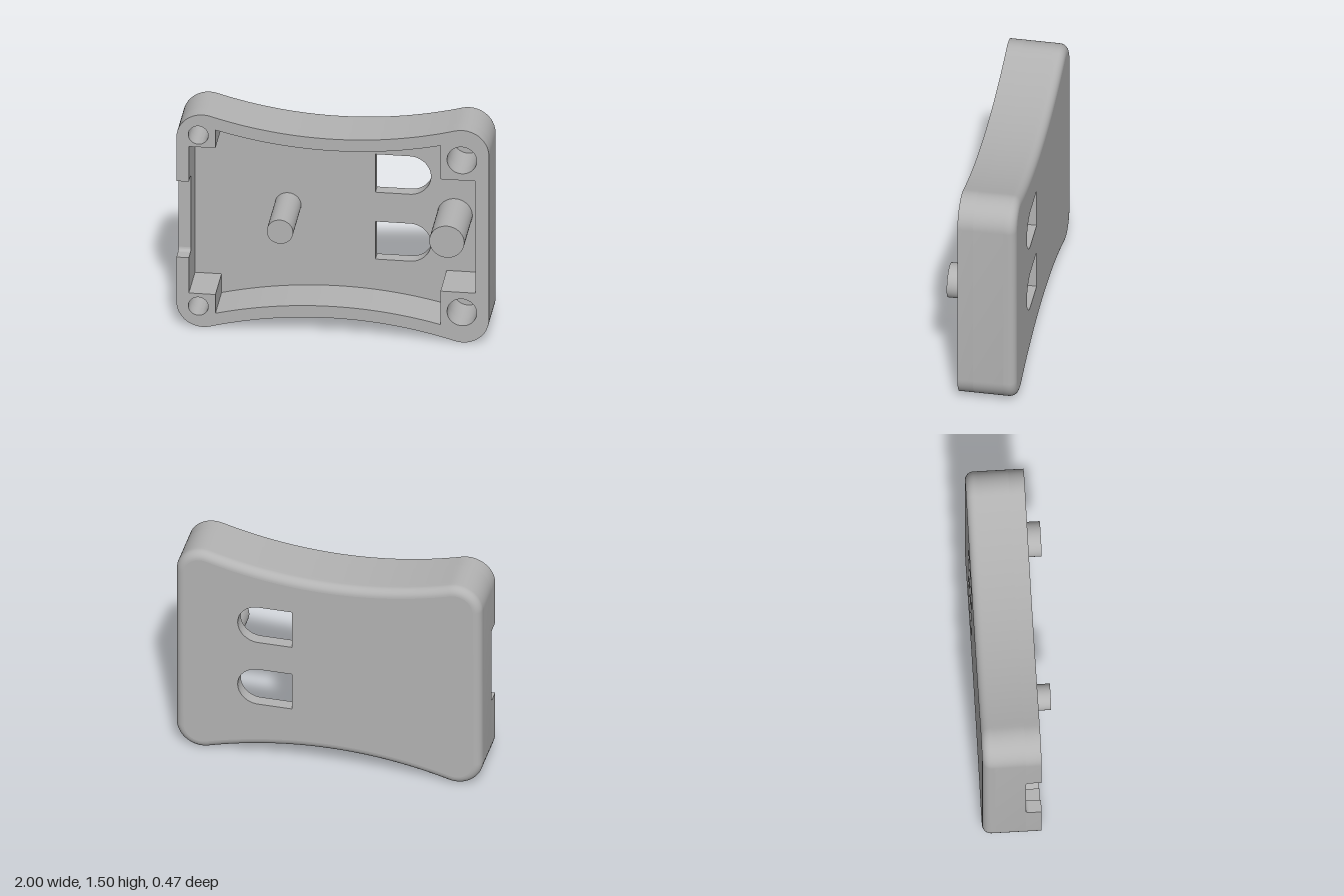
import * as THREE from 'three';
import { toCreasedNormals } from 'three/addons/utils/BufferGeometryUtils.js';

const H = 1.505, CX = 0.83, CR = 0.17, DIP = 0.117;      // outline: height, corner centre x, corner radius, waist depth
const R = (CX * CX + (CR - DIP) ** 2 - CR * CR) / (2 * DIP); // waist arc tangent to the corners
const A = Math.asin(CX / (R + CR));
const FRONT = 0.14, BACK = -0.235, FLOOR = -0.155, LEDGE = 0.04, FILLET = 0.055;
const NOTCH = [0.485, 1.025], WALL = -0.92;
const PI = Math.PI;

const V = (x, y) => new THREE.Vector2(x, y);

function arc(cx, cy, r, a0, a1, n, skipEnds = false) {
  const pts = [];
  for (let i = skipEnds ? 1 : 0; i <= (skipEnds ? n - 1 : n); i++) {
    const a = a0 + (a1 - a0) * i / n;
    pts.push(V(cx + r * Math.cos(a), cy + r * Math.sin(a)));
  }
  return pts;
}

// Counter-clockwise body outline, inset by d, starting low on the -x side
function outline(d) {
  const r = CR - d, w = R + d;
  return [
    ...arc(-CX, CR, r, PI, 1.5 * PI + A, 16),
    ...arc(0, DIP - R, w, PI / 2 + A, PI / 2 - A, 40, true),
    ...arc(CX, CR, r, 1.5 * PI - A, 2 * PI, 16),
    ...arc(CX, H - CR, r, 0, PI / 2 + A, 16),
    ...arc(0, H - DIP + R, w, 1.5 * PI + A, 1.5 * PI - A, 40, true),
    ...arc(-CX, H - CR, r, PI / 2 - A, PI, 16),
  ];
}

// Counter-clockwise pocket outline with a square block left in each corner
function pocket() {
  const w = R + 0.083, x0 = -0.75, x1 = 0.69;
  const a0 = Math.acos(x0 / w), a1 = Math.acos(x1 / w);
  return [
    V(WALL, 0.235), V(x0, 0.235),
    ...arc(0, DIP - R, w, a0, a1, 36),
    V(x1, 0.355), V(0.915, 0.355), V(0.915, 1.15), V(x1, 1.15),
    ...arc(0, H - DIP + R, w, -a1, -a0, 36),
    V(x0, 1.275), V(WALL, 1.275),
  ];
}

const circle = (x, y, r) => arc(x, y, r, 0, 2 * PI, 40).slice(0, -1);

function plate(points, holes, z0, z1) {
  const shape = new THREE.Shape(points);
  shape.holes = holes.map(h => new THREE.Path(h));
  const geo = new THREE.ExtrudeGeometry(shape, { depth: z1 - z0, bevelEnabled: false });
  geo.translate(0, 0, z0);
  return toCreasedNormals(geo, 0.5);
}

// Skin running from the floor level round the back edge fillet
function backEdge() {
  const rings = [[0, FLOOR]];
  for (let i = 0; i <= 8; i++) {
    const a = i / 8 * PI / 2;
    rings.push([FILLET * (1 - Math.cos(a)), BACK + FILLET * (1 - Math.sin(a))]);
  }
  const pos = [], idx = [];
  let n = 0;
  rings.forEach(([d, z], k) => {
    const pts = outline(d);
    n = pts.length;
    pts.forEach(p => pos.push(p.x, p.y, z));
    if (k === 0) return;
    for (let i = 0; i < n; i++) {
      const a = (k - 1) * n + i, b = (k - 1) * n + (i + 1) % n;
      idx.push(a, a + n, b, a + n, b + n, b);
    }
  });
  const geo = new THREE.BufferGeometry();
  geo.setAttribute('position', new THREE.Float32BufferAttribute(pos, 3));
  geo.setIndex(idx);
  geo.computeVertexNormals();
  return geo;
}

// Small concave fillet in a bottom corner of the side notch
function notchFillet(y, dir) {
  const r = 0.025;
  const pts = [V(0, 0), ...arc(r, r, r, 1.5 * PI, PI, 8)].map(p => V(p.x * dir, p.y));
  const geo = new THREE.ExtrudeGeometry(new THREE.Shape(pts), { depth: WALL + 1, bevelEnabled: false });
  geo.applyMatrix4(new THREE.Matrix4().makeBasis(
    new THREE.Vector3(0, 1, 0), new THREE.Vector3(0, 0, 1), new THREE.Vector3(1, 0, 0)));
  geo.translate(-1, y, LEDGE);
  return toCreasedNormals(geo, 0.5);
}

export function createModel() {
  const model = new THREE.Group();
  model.name = 'enclosureHalf';
  const grey = new THREE.MeshStandardMaterial({ color: 0xb3b3b3 });
  grey.name = 'grey plastic';
  const add = (name, geo) => {
    const mesh = new THREE.Mesh(geo, grey);
    mesh.name = name;
    model.add(mesh);
    return mesh;
  };

  // Floor with two D-shaped slots
  const slots = [[0.88, 1.15], [0.405, 0.672]].map(([y0, y1]) => {
    const r = (y1 - y0) / 2;
    return [V(0.235, y0), ...arc(0.59 - r, y0 + r, r, -PI / 2, PI / 2, 24), V(0.235, y1)];
  });
  add('floor', plate(outline(FILLET), slots, BACK, FLOOR));
  add('backEdge', backEdge());

  // Walls, with blind screw holes in the corner blocks
  const screwHoles = [
    circle(-0.86, 1.36, 0.064), circle(-0.86, H - 1.36, 0.064),
    circle(0.827, 1.292, 0.095), circle(0.827, H - 1.292, 0.095),
  ];
  add('lowerWall', plate(outline(0), [pocket(), ...screwHoles], FLOOR, LEDGE));
  const notched = [
    ...outline(0), V(-1, NOTCH[1]), V(WALL, NOTCH[1]),
    ...pocket().reverse(), V(WALL, NOTCH[0]), V(-1, NOTCH[0]),
  ];
  add('upperWall', plate(notched, screwHoles, LEDGE, FRONT));
  add('notchFilletBottom', notchFillet(NOTCH[0], 1));
  add('notchFilletTop', notchFillet(NOTCH[1], -1));

  // Support pegs
  for (const [name, x, r] of [['smallPeg', -0.325, 0.084], ['largePeg', 0.743, 0.112]]) {
    const len = 0.235 - FLOOR;
    const geo = new THREE.CylinderGeometry(r, r, len, 48).rotateX(PI / 2);
    add(name, geo).position.set(x, H / 2 + 0.003, FLOOR + len / 2);
  }
  return model;
}
